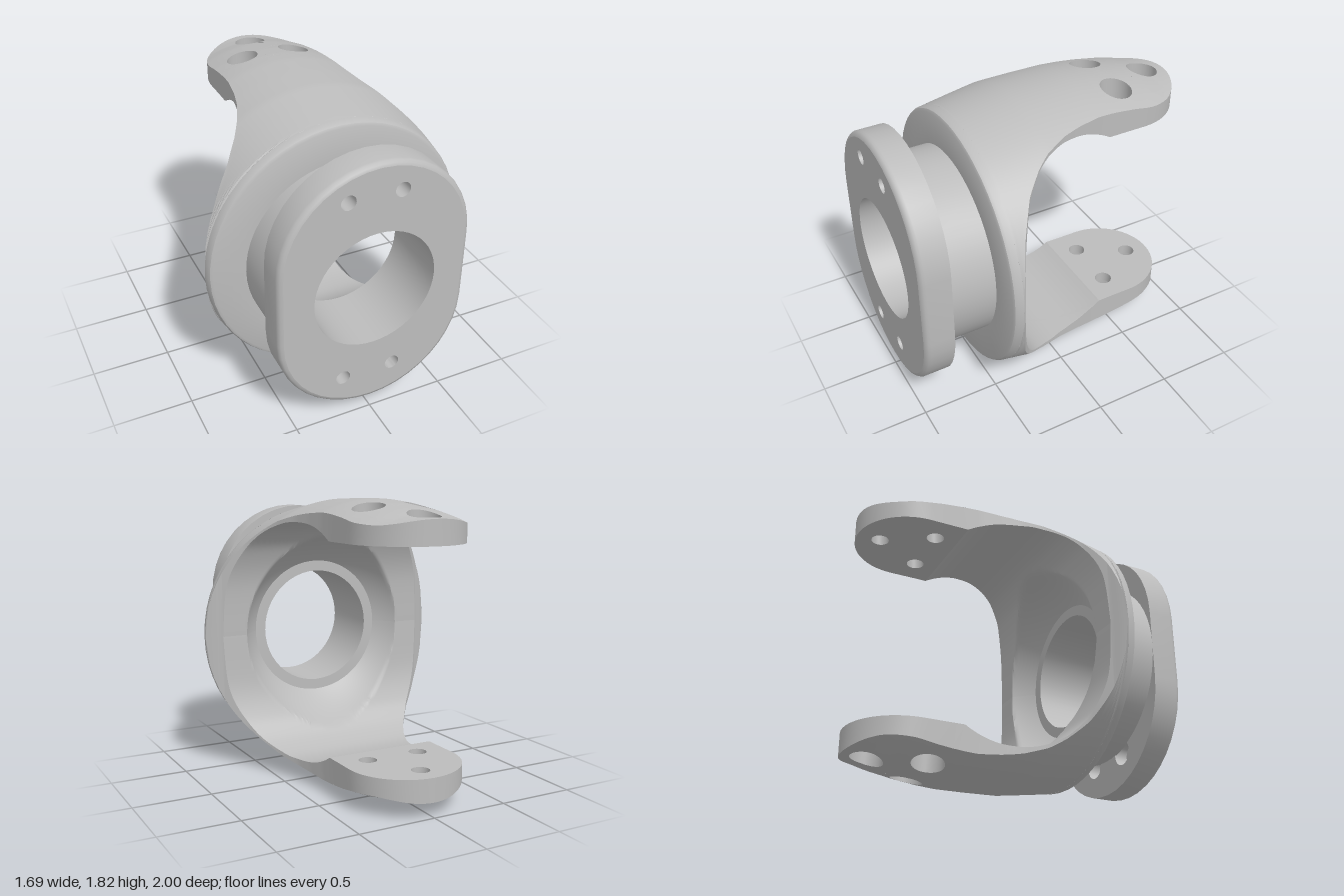
import * as THREE from 'three';
import { mergeVertices, toCreasedNormals } from 'three/addons/utils/BufferGeometryUtils.js';

const V2 = (x, y) => new THREE.Vector2(x, y);
const CENTRE_Y = 0.915;

// linear interpolation in a table of [key, value], keys descending
function table(rows, k) {
  for (let i = 1; i < rows.length; i++) {
    const [a, va] = rows[i - 1], [b, vb] = rows[i];
    if (k >= b) return va + (vb - va) * Math.min(1, Math.max(0, (a - k) / (a - b)));
  }
  return rows[rows.length - 1][1];
}

// outer radius of the yoke body along z
const RADIUS = [[0.47, 0.846], [0.3, 0.872], [0.11, 0.9], [-0.1, 0.907], [-0.3, 0.91], [-0.42, 0.902],
  [-0.55, 0.888], [-0.745, 0.857], [-0.85, 0.832], [-0.93, 0.82], [-1, 0.815]];
const radius = z => table(RADIUS, z);

// half width of the yoke along z, ending in a round tip
const WIDTH = [[0.47, 0.846], [0.44, 0.8], [0.41, 0.745], [0.31, 0.615], [0.2, 0.525], [0.116, 0.475],
  [-0.03, 0.415], [-0.15, 0.388], [-0.29, 0.37], [-0.4, 0.365]];
const TIP_R = 0.365, TIP_Z = -0.635;
const width = z => z < TIP_Z ? Math.sqrt(Math.max(0, TIP_R ** 2 - (z - TIP_Z) ** 2)) : table(WIDTH, z);

// inner C profile (z, y) from the web to the start of the flat arm pad
const PAD_Z = -0.38, PAD_Y = 0.664;
const inner = new THREE.SplineCurve([[0.41, 0], [0.39, 0.34], [0.325, 0.55], [0.25, 0.655], [0.17, 0.715],
  [0.05, 0.757], [-0.08, 0.762], [-0.2, 0.745], [-0.31, 0.703], [PAD_Z, PAD_Y]].map(p => V2(...p)));
inner.arcLengthDivisions = 400;
const LEN = inner.getLength();
const profile = u => inner.getPointAt(Math.min(1, Math.max(0, u / LEN)));

const circle = (cx, cy, r, n = 28) => Array.from({ length: n }, (_, i) =>
  [cx + r * Math.cos(i / n * 2 * Math.PI), cy + r * Math.sin(i / n * 2 * Math.PI)]);

function geometry(positions) {
  const g = new THREE.BufferGeometry();
  g.setAttribute('position', new THREE.Float32BufferAttribute(positions, 3));
  return g;
}

// fill an outline with holes, split it finely and map it onto a smooth surface
function patch(outline, holes, size, map) {
  const shape = new THREE.Shape(outline.map(p => V2(...p)));
  shape.holes = holes.map(h => new THREE.Path(h.map(p => V2(...p))));
  const flat = new THREE.ShapeGeometry(shape).toNonIndexed().attributes.position;
  const out = [];
  const split = (a, b, c) => {
    const d = [[a, b], [b, c], [c, a]].map(([p, q]) => Math.hypot(p[0] - q[0], p[1] - q[1]));
    const m = Math.max(...d);
    if (m <= size) { for (const p of [a, b, c]) out.push(...map(p[0], p[1])); return; }
    while (d[0] < m) { [a, b, c] = [b, c, a]; d.push(d.shift()); }
    const mid = [(a[0] + b[0]) / 2, (a[1] + b[1]) / 2];
    split(a, mid, c);
    split(mid, b, c);
  };
  const pt = i => [flat.getX(i), flat.getY(i)];
  for (let i = 0; i < flat.count; i += 3) split(pt(i), pt(i + 1), pt(i + 2));
  const g = mergeVertices(geometry(out));
  g.computeVertexNormals();
  return g;
}

// join rows of points into a surface
function strip(rows, closed = false) {
  const out = [], n = rows[0].length;
  for (let j = 0; j + 1 < rows.length; j++) {
    for (let i = 0; i < (closed ? n : n - 1); i++) {
      const k = (i + 1) % n, a = rows[j][i], b = rows[j][k], c = rows[j + 1][k], d = rows[j + 1][i];
      out.push(...a, ...b, ...c, ...a, ...c, ...d);
    }
  }
  return toCreasedNormals(geometry(out), 0.6);
}

const lathe = (pts, n) =>
  toCreasedNormals(new THREE.LatheGeometry(pts.map(p => V2(...p)), n).rotateX(Math.PI / 2), 0.6);

export function createModel() {
  const metal = new THREE.MeshStandardMaterial({ color: 0xbcbcbc, side: THREE.DoubleSide });
  metal.name = 'grey metal';
  const model = new THREE.Group();
  model.name = 'yokeBracket';
  const body = new THREE.Group();
  body.name = 'body';
  body.position.y = CENTRE_Y;
  model.add(body);
  const add = (parent, name, geo) => {
    const mesh = new THREE.Mesh(geo, metal);
    mesh.name = name;
    parent.add(mesh);
  };

  // stations along the yoke edge: lip, web (u runs along the inner profile), then arm pad
  const lip = [0.47, 0.455, 0.44, 0.425].map(z => ({ z, y: 0 }));
  const web = Array.from({ length: 41 }, (_, i) => {
    const u = LEN * i / 40, p = profile(u);
    return { u, z: p.x, y: p.y };
  });
  const pad = [PAD_Z, -0.46, -0.55].map(z => ({ z, y: PAD_Y }));
  for (let i = 0; i <= 14; i++) pad.push({ z: TIP_Z - TIP_R * Math.sin(i / 14 * Math.PI / 2), y: PAD_Y });

  const mirrored = pts => [...pts, ...pts.slice(0, -1).reverse().map(([x, y]) => [-x, y])];
  const angle = (x, z) => Math.asin(Math.max(-1, Math.min(1, x / radius(z))));
  const outerY = (x, z) => Math.sqrt(Math.max(0, radius(z) ** 2 - x * x));
  const outerPoint = (a, z) => [radius(z) * Math.sin(a), radius(z) * Math.cos(a), z];
  const across = Array.from({ length: 25 }, (_, i) => i / 12 - 1);

  const boltHoles = [[0, -0.845], [0.18, -0.53], [-0.18, -0.53]];
  const BOLT_R = 0.057, SINK_R = 0.1, SINK_Y = 0.735;
  const RING_R = 0.46, RING_Z = 0.54, BOWL_R = 0.7, BOWL_Z = RING_Z - Math.sqrt(BOWL_R ** 2 - RING_R ** 2);

  // inner web surface with a spherical bowl cut around the bore
  const webPoint = ([x, u]) => {
    const p = profile(u), r = Math.hypot(x, p.y);
    const bowl = p.x > 0.2 && r < BOWL_R ? BOWL_Z + Math.sqrt(BOWL_R ** 2 - r * r) : -1;
    return [x, p.y, Math.max(p.x, bowl)];
  };
  const webRight = web.map(s => [width(s.z), s.u]);
  const webEdge = [...webRight, ...across.slice(1, -1).map(t => [-t * width(PAD_Z), LEN]),
    ...webRight.slice().reverse().map(([x, u]) => [-x, u])];
  const webRows = Array.from({ length: 33 }, (_, k) => webEdge.map(([x, u]) => {
    const start = RING_R / Math.hypot(x, u), s = start + (1 - start) * k / 32;
    return webPoint([x * s, u * s]);
  }));

  for (const side of [1, -1]) {
    const half = new THREE.Group();
    half.name = side > 0 ? 'upperYoke' : 'lowerYoke';
    half.scale.y = side;
    body.add(half);

    add(half, 'innerWeb', strip(webRows));
    add(half, 'outerShell', strip([...lip, ...web].map(({ z }) =>
      across.map(t => outerPoint(t * angle(width(z), z), z)))));

    // arm end with counterbored bolt holes
    add(half, 'armTop', patch(
      [...mirrored(pad.map(({ z }) => [angle(width(z), z), z])),
        ...across.slice(1, -1).map(t => [t * angle(width(PAD_Z), PAD_Z), PAD_Z])],
      boltHoles.map(([x, z]) => circle(x, z, SINK_R).map(([a, b]) => [angle(a, b), b])),
      0.07, outerPoint));
    add(half, 'armPad', patch(
      mirrored(pad.map(({ z }) => [width(z), z])),
      boltHoles.map(([x, z]) => circle(x, z, BOLT_R)),
      2, (x, z) => [x, PAD_Y, z]));
    for (const [x, z] of boltHoles) {
      const ring = (r, y) => circle(x, z, r).map(([a, b]) => [a, y ?? outerY(a, b), b]);
      add(half, 'armBoltHole',
        strip([ring(SINK_R), ring(SINK_R, SINK_Y), ring(BOLT_R, SINK_Y), ring(BOLT_R, PAD_Y)], true));
    }

    // side edges between the inner and outer surfaces
    for (const s of [1, -1]) {
      add(half, 'sideEdge', strip([...lip, ...web, ...pad.slice(1)].map(({ z, y }) => {
        const w = width(z);
        return [[s * w, y, z], [s * w, Math.max(y, outerY(w, z)), z]];
      })));
    }
  }

  // neck, front shoulder of the yoke and the bore
  add(body, 'neckAndShoulder', lathe([[0.61, 0.815], [0.61, 0.53], [0.815, 0.53], [0.832, 0.522],
    [0.841, 0.505], [0.846, 0.47]], 56));
  add(body, 'bore', lathe([[0.465, RING_Z], [0.39, RING_Z], [0.39, 1]], 48));

  // flange with flat sides and a rounded front edge
  const outline = inset => {
    const pts = [];
    for (const s of [1, -1]) {
      for (let i = 0; i <= 20; i++) {
        const a = i / 20 * Math.PI, r = 0.61 - inset;
        pts.push([s * r * Math.cos(a), s * (0.227 + r * Math.sin(a))]);
      }
    }
    return pts;
  };
  const at = (pts, z) => pts.map(([x, y]) => [x, y, z]);
  const FRONT = 1, BACK = 0.81, screws = [];
  for (const x of [-0.193, 0.14]) for (const y of [-0.605, 0.637]) screws.push([x, y]);
  add(body, 'flangeEdge', strip([[0, BACK], [0, 0.965], [0.004, 0.98], [0.015, 0.994], [0.032, FRONT]]
    .map(([inset, z]) => at(outline(inset), z)), true));
  const face = (inset, z, r) => patch(outline(inset),
    [circle(0, 0, 0.39, 48), ...screws.map(([x, y]) => circle(x, y, r))], 2, (x, y) => [x, y, z]);
  add(body, 'flangeFront', face(0.032, FRONT, 0.047));
  add(body, 'flangeBack', face(0, BACK, 0.08));

  // stepped screw holes in the flange
  for (const [x, y] of screws) {
    add(body, 'flangeScrewHole', strip([[0.047, FRONT], [0.047, 0.9], [0.08, 0.9], [0.08, BACK]]
      .map(([r, z]) => at(circle(x, y, r), z)), true));
  }
  return model;
}
